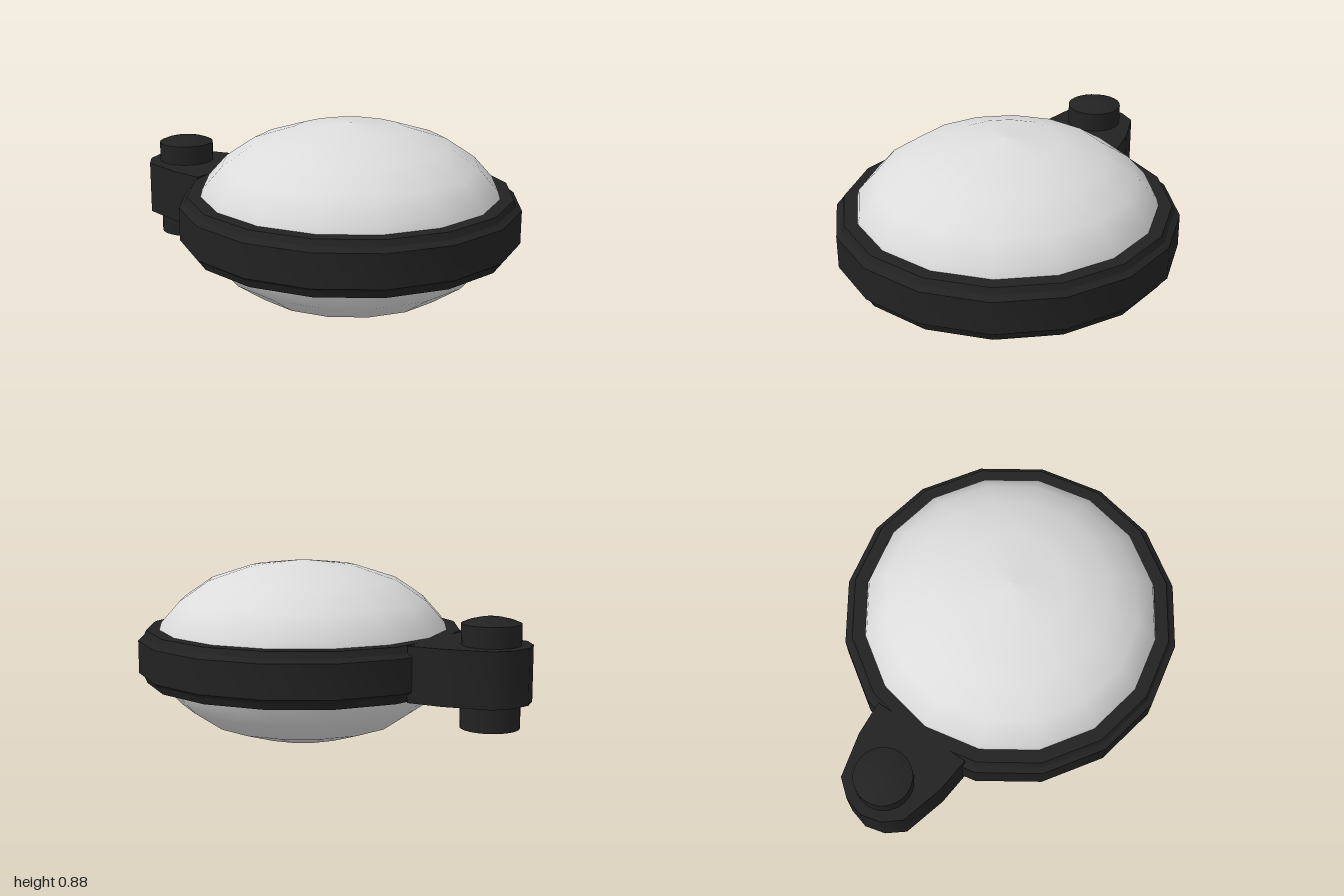
import * as THREE from 'three';
import { toCreasedNormals } from 'three/addons/utils/BufferGeometryUtils.js';

const CENTRE_X = 0.2;
const PIN_X = -0.815;

export function createModel() {
  const model = new THREE.Group();
  const blackPlastic = new THREE.MeshStandardMaterial({ color: 0x222222 });
  blackPlastic.name = 'blackPlastic';
  const paleGlass = new THREE.MeshStandardMaterial({ color: 0xdcdcdc });
  paleGlass.name = 'paleGlass';

  const add = (name, geometry, material, x = 0, y = 0) => {
    const mesh = new THREE.Mesh(geometry, material);
    mesh.name = name;
    mesh.position.set(x, y, 0);
    model.add(mesh);
  };
  const lathe = (points, sides) =>
    new THREE.LatheGeometry(points.map(([r, y]) => new THREE.Vector2(r, y)), sides);

  // Lens: flattened spheroid, mirrored about its middle
  const upper = [[0.73, 0], [0.69, 0.15], [0.6, 0.25], [0.46, 0.345], [0.26, 0.41], [0, 0.44]];
  const lower = upper.slice(1).reverse().map(([r, y]) => [r, -y]);
  add('lens', lathe([...lower, ...upper], 16), paleGlass, CENTRE_X, 0.44);

  // Rim: sixteen-sided band with small hollow edges
  const rim = [
    [0.7, 0.3], [0.762, 0.3], [0.775, 0.332], [0.8, 0.35], [0.8, 0.507],
    [0.775, 0.525], [0.762, 0.555], [0.7, 0.555], [0.7, 0.3],
  ];
  add('rim', toCreasedNormals(lathe(rim, 16), 0.5), blackPlastic, CENTRE_X);

  // Hinge bracket: tapering lug with a rounded end
  const side = [[-0.53, 0.245], [-0.7, 0.23], [-0.91, 0.175], [-0.975, 0.095]];
  const outline = [...side, [-1, 0], ...side.slice().reverse().map(([x, z]) => [x, -z])];
  const lug = new THREE.ExtrudeGeometry(
    new THREE.Shape(outline.map(([x, z]) => new THREE.Vector2(x, z))),
    { depth: 0.255, bevelEnabled: false });
  lug.rotateX(-Math.PI / 2);
  add('hingeBracket', toCreasedNormals(lug, 0.8), blackPlastic, 0, 0.3);

  // Hinge pin: domed top, shallow hollow underneath
  const pin = [
    [0, 0.21], [0.07, 0.203], [0.135, 0.18], [0.135, 0.65],
    [0.1, 0.664], [0.05, 0.676], [0, 0.68],
  ];
  add('hingePin', toCreasedNormals(lathe(pin, 24), 0.6), blackPlastic, PIN_X);

  return model;
}
